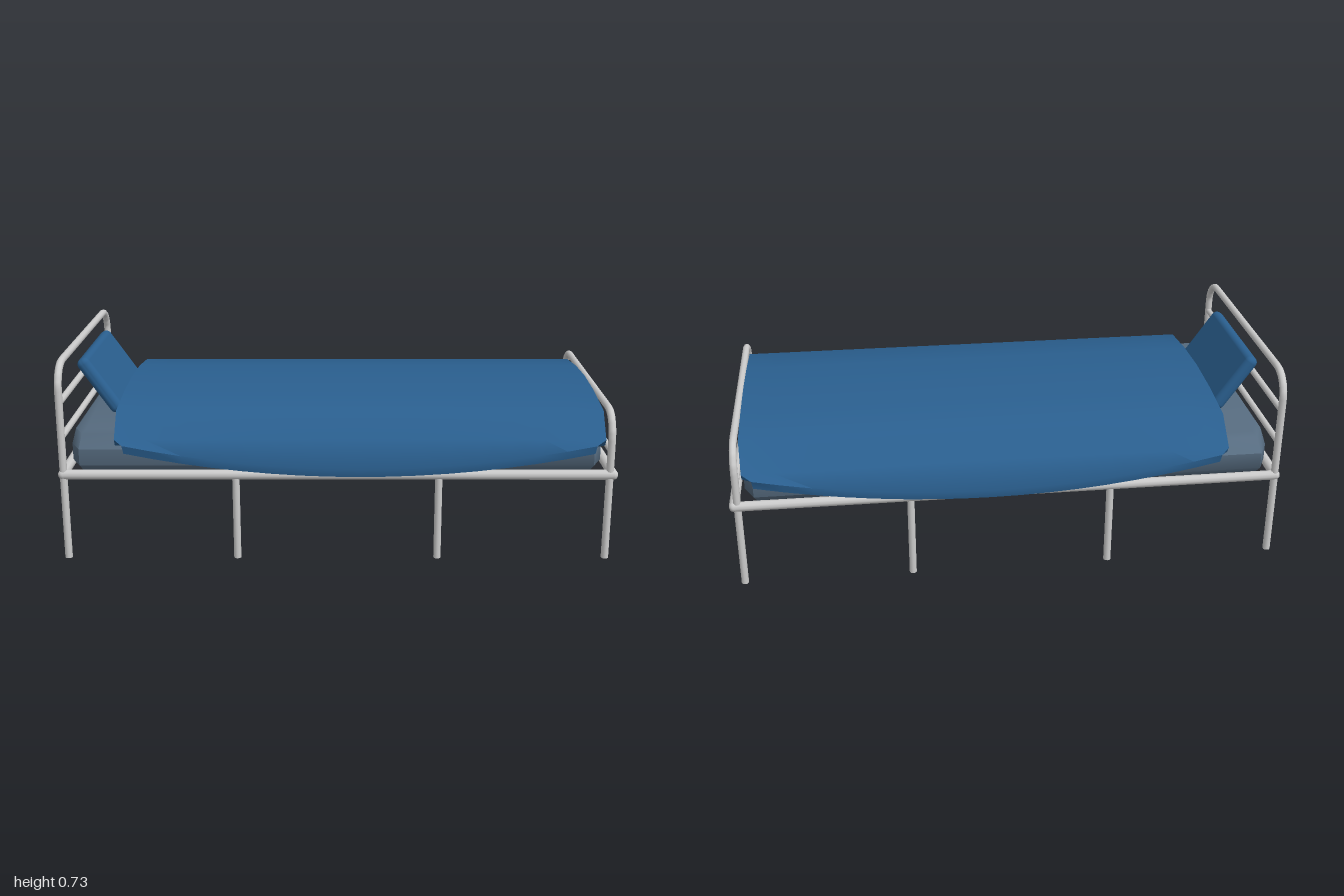
import * as THREE from 'three';
import { toCreasedNormals } from 'three/addons/utils/BufferGeometryUtils.js';
import { RoundedBoxGeometry } from 'three/addons/geometries/RoundedBoxGeometry.js';

const V = (x, y, z) => new THREE.Vector3(x, y, z);
const metal = new THREE.MeshStandardMaterial({ color: 0xcccccc });
const cloth = new THREE.MeshStandardMaterial({ color: 0x2a5f8f });
const ticking = new THREE.MeshStandardMaterial({ color: 0x566b7f });

function add(parent, name, geometry, material) {
  const mesh = new THREE.Mesh(geometry, material);
  mesh.name = name;
  parent.add(mesh);
  return mesh;
}

// Straight round bar between two points
function bar(parent, name, a, b, r) {
  const d = b.clone().sub(a);
  const mesh = add(parent, name, new THREE.CylinderGeometry(r, r, d.length(), 10), metal);
  mesh.position.copy(a).add(b).multiplyScalar(0.5);
  mesh.quaternion.setFromUnitVectors(V(0, 1, 0), d.normalize());
  return mesh;
}

// Closed skin over equal-sized rings of points, with a cap at each end
function loft(rings, crease) {
  const n = rings[0].length, last = (rings.length - 1) * n, index = [];
  for (let i = 0; i < rings.length - 1; i++) {
    for (let j = 0; j < n; j++) {
      const a = i * n + j, b = i * n + (j + 1) % n;
      index.push(a, b, b + n, a, b + n, a + n);
    }
  }
  for (let j = 0; j < n / 2 - 1; j++) {
    const a = j, b = j + 1, c = n - 2 - j, d = n - 1 - j;
    index.push(a, c, b, a, d, c);
    index.push(last + a, last + b, last + c, last + a, last + c, last + d);
  }
  const g = new THREE.BufferGeometry().setFromPoints(rings.flat());
  g.setIndex(index);
  return toCreasedNormals(g, crease);
}

// Bent tube end: two legs joined by a round-cornered arch, plus cross rails
function endFrame(name, x, top, rails) {
  const g = new THREE.Group();
  g.name = name;
  const w = 0.488, c = 0.09, path = new THREE.CurvePath();
  path.add(new THREE.LineCurve3(V(x, 0, w), V(x, top - c, w)));
  const corner = (s, from, to) => {
    const pts = [];
    for (let i = 0; i <= 5; i++) {
      const a = from + (to - from) * i / 5;
      pts.push(V(x, top - c + c * Math.sin(a), s * (w - c + c * Math.cos(a))));
    }
    for (let i = 0; i < 5; i++) path.add(new THREE.LineCurve3(pts[i], pts[i + 1]));
  };
  corner(1, 0, Math.PI / 2);
  path.add(new THREE.LineCurve3(V(x, top, w - c), V(x, top, c - w)));
  corner(-1, Math.PI / 2, 0);
  path.add(new THREE.LineCurve3(V(x, top - c, -w), V(x, 0, -w)));
  add(g, 'arch', new THREE.TubeGeometry(path, 160, 0.0135, 10), metal);
  for (const s of [-1, 1]) {
    const foot = add(g, 'footCap', new THREE.CircleGeometry(0.0135, 10), metal);
    foot.rotation.x = Math.PI / 2;
    foot.position.set(x, 0, s * w);
  }
  for (const y of rails) bar(g, 'crossRail', V(x, y, -w), V(x, y, w), 0.012);
  return g;
}

// Octagonal ring for the mattress
function mattressRing(y, ix, iz) {
  const x0 = -0.955 + ix, x1 = 0.945 - ix, z = 0.495 - iz, cx = 0.035, cz = 0.07;
  return [[x0 + cx, z], [x1 - cx, z], [x1, z - cz], [x1, cz - z],
    [x1 - cx, -z], [x0 + cx, -z], [x0, cz - z], [x0, z - cz]].map(([px, pz]) => V(px, y, pz));
}

// Draped blanket: one closed cross-section at each station along x
function blanketGeometry() {
  const rings = [], steps = 16;
  for (let i = 0; i <= steps; i++) {
    const t = i / steps, s2 = (2 * t - 1) ** 2;
    const hemY = 0.33 + 0.08 * s2, hemZ = 0.553 - 0.018 * s2;
    // x start, x end, top z, top y, under z, under y
    const rows = [
      [-0.8, 0.957, 0, 0.555, 0, 0.508],
      [-0.8, 0.957, 0.19, 0.547, 0.19, 0.5],
      [-0.8, 0.957, 0.38, 0.525, 0.375, 0.484],
      [-0.79, 0.945, 0.51, 0.455, 0.495, 0.43],
      [-0.76, 0.91, hemZ, hemY + 0.03, hemZ - 0.02, hemY + 0.025],
      [-0.755, 0.905, hemZ - 0.005, hemY, hemZ - 0.012, hemY],
    ];
    const point = (k, side, o) => {
      const r = rows[k];
      return V(r[0] + (r[1] - r[0]) * t, r[o + 1], side * r[o]);
    };
    const ring = [];
    for (let k = 5; k > 0; k--) ring.push(point(k, -1, 2));
    for (let k = 0; k <= 5; k++) ring.push(point(k, 1, 2));
    for (let k = 5; k > 0; k--) ring.push(point(k, 1, 4));
    for (let k = 0; k <= 5; k++) ring.push(point(k, -1, 4));
    rings.push(ring);
  }
  return loft(rings, 0.8);
}

export function createModel() {
  const bed = new THREE.Group();
  bed.name = 'bed';

  bed.add(endFrame('headFrame', -0.98, 0.717, [0.582, 0.455]));
  bed.add(endFrame('footFrame', 0.97, 0.542, [0.407]));

  // Base frame with rounded corners
  const base = new THREE.Group();
  base.name = 'baseFrame';
  const y = 0.318, X = 0.982, Z = 0.488, r = 0.018;
  for (const s of [-1, 1]) {
    bar(base, 'sideRail', V(-X, y, s * Z), V(X, y, s * Z), r);
    bar(base, 'endRail', V(s * X, y, -Z), V(s * X, y, Z), r);
    for (const e of [-1, 1]) {
      add(base, 'railCorner', new THREE.SphereGeometry(r, 10, 8), metal).position.set(e * X, y, s * Z);
    }
    for (const x of [-0.365, 0.36]) bar(base, 'middleLeg', V(x, 0, s * Z), V(x, y, s * Z), 0.0135);
  }
  // Slats
  const slats = 18;
  for (let i = 0; i < slats; i++) {
    const x = -0.89 + 1.78 * i / (slats - 1);
    bar(base, 'slat', V(x, y, -Z), V(x, y, Z), 0.013);
  }
  bed.add(base);

  // Bedding
  add(bed, 'mattress', loft([
    mattressRing(0.334, 0.01, 0.015),
    mattressRing(0.355, 0, 0),
    mattressRing(0.415, 0, 0),
    mattressRing(0.455, 0.004, 0.055),
    mattressRing(0.465, 0.015, 0.08),
  ], 0.9), ticking);
  add(bed, 'blanket', blanketGeometry(), cloth);
  const pillow = add(bed, 'pillow', new RoundedBoxGeometry(0.05, 0.24, 0.49, 4, 0.022), cloth);
  pillow.position.set(-0.883, 0.577, 0);
  pillow.rotation.z = 0.6;

  return bed;
}
